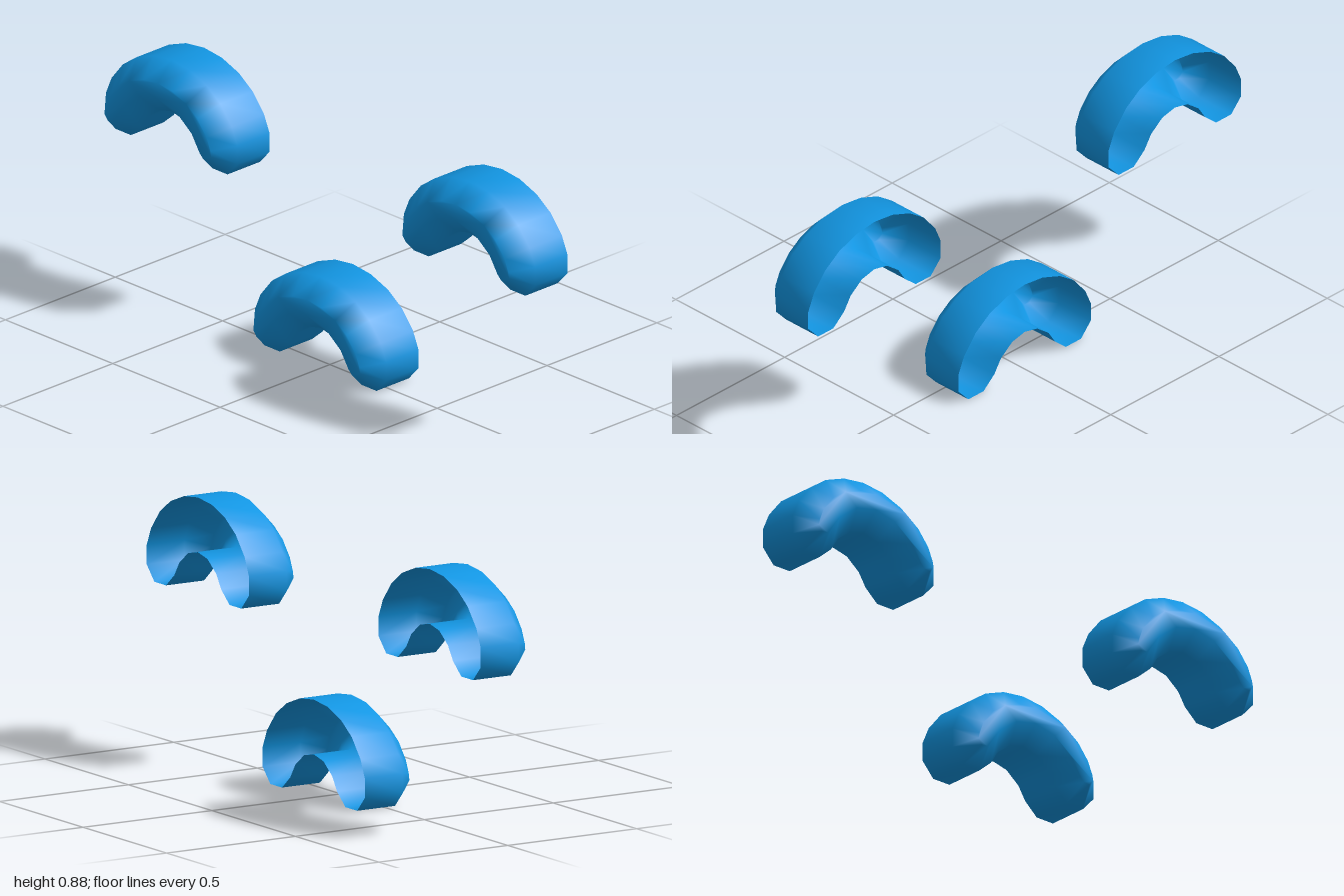
import * as THREE from 'three';

const DEPTH = 0.105;    // half depth
const BEVEL = 0.063;    // chamfer around the front
const SPINE = { y: -0.007, r: 0.24, end: 0.415 }; // centre arc of the arch

// Right half of the outline, from inner crown round the foot to outer crown
const HALF = [
  [0, 0.143], [0.058, 0.13], [0.11, 0.09], [0.14, 0.043], [0.19, 0], [0.26, 0],
  [0.306, 0.05], [0.306, 0.115], [0.28, 0.175], [0.227, 0.24], [0.163, 0.285],
  [0.083, 0.315], [0, 0.325],
];

function outline() {
  const left = HALF.slice(1, -1).reverse().map(([x, y]) => [-x, y]);
  return [...HALF, ...left].map(([x, y]) => new THREE.Vector2(x, y));
}

// Move an outline point towards the centre arc by the bevel width
function inset(p) {
  const a = THREE.MathUtils.clamp(
    Math.atan2(p.y - SPINE.y, p.x), SPINE.end, Math.PI - SPINE.end);
  const c = new THREE.Vector2(Math.cos(a) * SPINE.r, SPINE.y + Math.sin(a) * SPINE.r);
  const d = p.distanceTo(c);
  return p.clone().lerp(c, BEVEL / d);
}

// Hollow arch: straight wall, chamfer, front face, open back
function archGeometry() {
  const outer = outline();
  const inner = outer.map(inset);
  const n = outer.length;
  const pos = [];
  const index = [];
  for (const [ring, z] of [[outer, -DEPTH], [outer, DEPTH - BEVEL], [inner, DEPTH]]) {
    for (const p of ring) pos.push(p.x, p.y, z);
  }
  for (let k = 0; k < 2; k++) {
    for (let i = 0; i < n; i++) {
      const j = (i + 1) % n;
      const a = k * n + i, b = k * n + j;
      index.push(a, b, b + n, a, b + n, a + n);
    }
  }
  for (const f of THREE.ShapeUtils.triangulateShape(inner, [])) {
    index.push(...f.map((i) => i + 2 * n));
  }
  const g = new THREE.BufferGeometry();
  g.setAttribute('position', new THREE.Float32BufferAttribute(pos, 3));
  g.setIndex(index);
  g.computeVertexNormals();
  return g;
}

export function createModel() {
  const group = new THREE.Group();
  group.name = 'archTrio';
  const blue = new THREE.MeshStandardMaterial({ color: 0x1296e3, side: THREE.DoubleSide });
  blue.name = 'blue';
  const geometry = archGeometry();
  const places = [['rightArch', -0.694, 0.553], ['leftArch', 0.694, 0.553], ['lowerArch', 0, 0]];
  for (const [name, x, y] of places) {
    const arch = new THREE.Mesh(geometry, blue);
    arch.name = name;
    arch.position.set(x, y, 0);
    group.add(arch);
  }
  return group;
}
